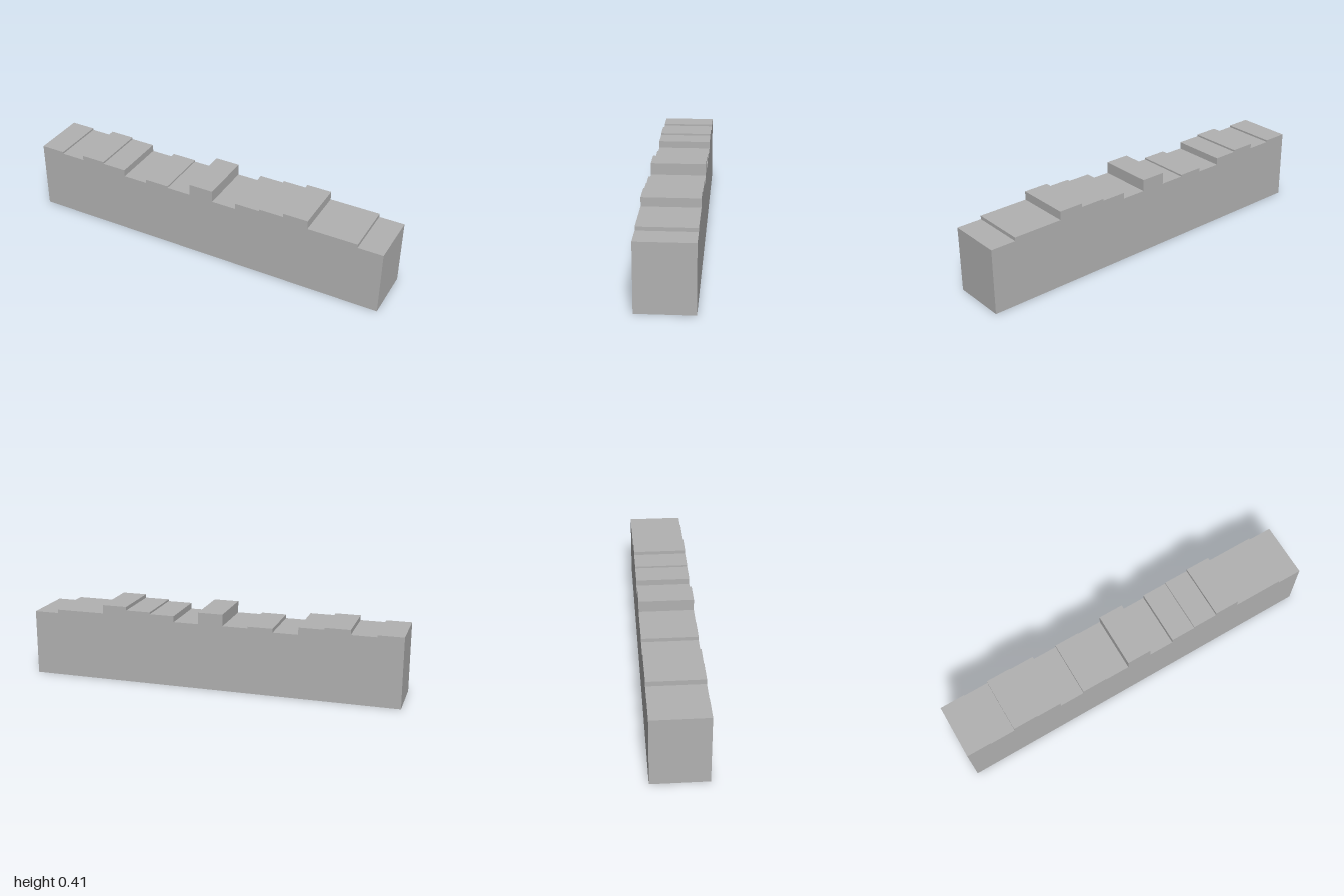
import * as THREE from 'three';

// Height of each equal-width step, from the model's right (-x) to its left (+x)
const HEIGHTS = [0.374, 0.364, 0.39, 0.38, 0.342, 0.362, 0.353, 0.415,
  0.353, 0.385, 0.395, 0.414, 0.368, 0.368, 0.349];
const LENGTH = 2;
const DEPTH = 0.292;

export function createModel() {
  const group = new THREE.Group();
  group.name = 'steppedWall';
  const stone = new THREE.MeshStandardMaterial({ color: 0xb2b2b2 });
  stone.name = 'stone grey';

  // Stepped silhouette, counter-clockwise from the bottom corner
  const step = LENGTH / HEIGHTS.length;
  const outline = [new THREE.Vector2(-1, 0), new THREE.Vector2(1, 0)];
  for (let i = HEIGHTS.length - 1; i >= 0; i--) {
    const left = -1 + i * step;
    // Neighbouring steps of equal height share one flat top
    if (HEIGHTS[i] !== HEIGHTS[i + 1]) outline.push(new THREE.Vector2(left + step, HEIGHTS[i]));
    if (HEIGHTS[i] !== HEIGHTS[i - 1]) outline.push(new THREE.Vector2(left, HEIGHTS[i]));
  }

  // Solid wall with an uneven top
  const geometry = new THREE.ExtrudeGeometry(new THREE.Shape(outline), {
    depth: DEPTH, bevelEnabled: false,
  });
  geometry.translate(0, 0, -DEPTH / 2);
  const wall = new THREE.Mesh(geometry, stone);
  wall.name = 'wall';
  group.add(wall);
  return group;
}
